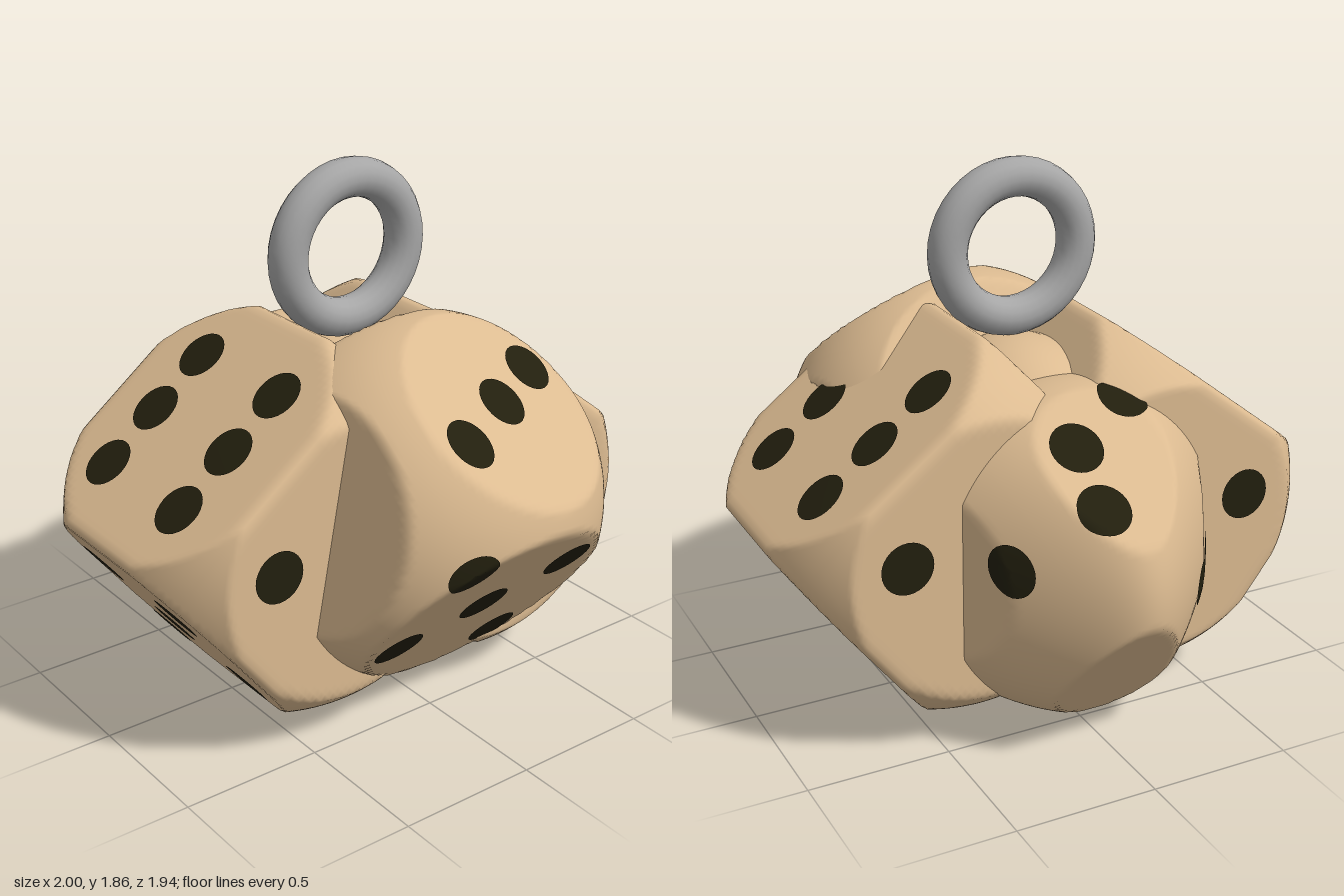
import * as THREE from 'three';
import { mergeVertices } from 'three/addons/utils/BufferGeometryUtils.js';

const tan = new THREE.MeshStandardMaterial({ color: 0xdcbb91 });
tan.name = 'tanBody';
const dark = new THREE.MeshStandardMaterial({ color: 0x221f0e });
dark.name = 'darkPip';
const grey = new THREE.MeshStandardMaterial({ color: 0xa6a6a6 });
grey.name = 'greyMetal';

const V = (x, y, z) => new THREE.Vector3(x, y, z);
const EDGE = 0.035; // edge rounding

// Moves a point on a box to the die surface: rounded edges, corners cut by a sphere
function toDie(p, half, radius) {
  const inner = half.clone().subScalar(EDGE);
  const q = p.clone().clamp(inner.clone().negate(), inner);
  const d = p.clone().sub(q);
  if (d.length() > 0) p = q.add(d.setLength(EDGE));
  return p.clampLength(0, radius);
}

function mapVertices(geometry, fn) {
  const pos = geometry.attributes.position;
  for (let i = 0; i < pos.count; i++) {
    const p = fn(V(0, 0, 0).fromBufferAttribute(pos, i));
    pos.setXYZ(i, p.x, p.y, p.z);
  }
  geometry.computeVertexNormals();
  return geometry;
}

// A tilted die; local +z is the lower outer face, local +y the upper outer face.
// Taper narrows it towards its outer edge.
function makeDie({ name, half, radius, centre, yaw, roll = 0, taper = 0, pips }) {
  const die = new THREE.Group();
  die.name = name;
  die.position.copy(centre);
  die.rotation.set(0.657, yaw, roll, 'YXZ');

  const width = p => 1 - taper * Math.max(0, 0.61 * p.y + 0.79 * p.z);
  const narrow = p => p.setX(p.x * width(p));
  const widen = p => p.setX(p.x / width(p));

  let body = new THREE.BoxGeometry(half.x * 2, half.y * 2, half.z * 2, 40, 40, 40);
  body.deleteAttribute('uv');
  body.deleteAttribute('normal');
  body = mapVertices(mergeVertices(body, 1e-4), p => narrow(toDie(p, half, radius)));
  const mesh = new THREE.Mesh(body, tan);
  mesh.name = name + 'Body';
  die.add(mesh);

  // Pips are thin discs that follow the surface
  const inverse = die.quaternion.clone().invert();
  for (const [x, y, z] of pips) {
    const p = V(x, y, z).sub(centre).applyQuaternion(inverse);
    const rel = widen(p.clone()).divide(half).toArray();
    const axis = rel.reduce((best, v, i) => (Math.abs(v) > Math.abs(rel[best]) ? i : best), 0);
    const face = Math.sign(rel[axis]);
    const normal = V(0, 0, 0).setComponent(axis, face);
    p.setComponent(axis, face * half.getComponent(axis));
    const turn = new THREE.Quaternion().setFromUnitVectors(V(0, 0, 1), normal);
    const disc = new THREE.RingGeometry(0, 0.09, 28, 5);
    mapVertices(disc, v => {
      const s = narrow(toDie(widen(v.applyQuaternion(turn).add(p)), half, radius));
      return s.multiplyScalar(1 + 0.007 / s.length());
    });
    const pip = new THREE.Mesh(disc, dark);
    pip.name = 'pip';
    die.add(pip);
  }
  return die;
}

export function createModel() {
  const model = new THREE.Group();
  model.name = 'diceCharm';

  // Side dice: six pips above, five below, singles on the flanks
  for (const side of [1, -1]) {
    const pips = [];
    for (const z of [0.21, -0.23])
      for (const [x, y] of [[0.45, 1.2], [0.635, 1.05], [0.815, 0.89]]) pips.push([side * x, y, z]);
    pips.push([side * 0.713, 0.35, 0], [side * 0.58, 0.18, 0.23], [side * 0.58, 0.18, -0.24]);
    pips.push([side * 0.845, 0.52, -0.23], [side * 0.63, 0.71, -0.5]);
    if (side < 0) pips.push([-0.845, 0.52, 0.23], [-0.63, 0.71, 0.5]);
    model.add(makeDie({
      name: side > 0 ? 'leftDie' : 'rightDie',
      half: V(0.5, 0.47, 0.5), radius: 0.7,
      centre: V(side * 0.33, 0.66, 0), yaw: side * Math.PI / 2, pips,
    }));
  }

  // Front die, rolled a little: three pips above, five below, one on its side
  model.add(makeDie({
    name: 'frontDie', half: V(0.49, 0.5, 0.455), radius: 0.635,
    centre: V(0.05, 0.74, 0.345), yaw: 0, roll: -0.23,
    pips: [
      [-0.08, 1.1, 0.75], [0.17, 1.14, 0.62], [0.39, 1.18, 0.51],
      [-0.2, 0.75, 0.95], [0.3, 0.6, 0.84], [0.01, 0.5, 0.76], [-0.27, 0.39, 0.67], [0.23, 0.24, 0.56],
      [0.55, 0.71, 0.67],
    ],
  }));

  // Back die, the most rounded, narrowing to the back
  model.add(makeDie({
    name: 'backDie', half: V(0.49, 0.49, 0.49), radius: 0.575,
    centre: V(0, 0.61, -0.385), yaw: Math.PI, taper: 0.9,
    pips: [
      [0.09, 0.93, -0.8], [0.09, 1.07, -0.62], [-0.15, 1.15, -0.48],
      [0.34, 0.72, -0.69], [-0.27, 0.53, -0.73], [-0.37, 0.63, -0.63],
    ],
  }));

  // Cores that fill the hollows between the dice, under the ring and underneath
  for (const [name, y, sx, sy, sz] of [['upperCore', 0.84, 0.36, 0.4, 0.42], ['lowerCore', 0.34, 0.5, 0.3, 0.42]]) {
    const core = new THREE.Mesh(new THREE.SphereGeometry(1, 32, 24), tan);
    core.name = name;
    core.scale.set(sx, sy, sz);
    core.position.set(0, y, -0.03);
    model.add(core);
  }

  // Hanging ring
  const ring = new THREE.Mesh(new THREE.TorusGeometry(0.242, 0.068, 16, 40), grey);
  ring.name = 'ring';
  ring.position.set(0, 1.545, 0.015);
  model.add(ring);

  return model;
}
